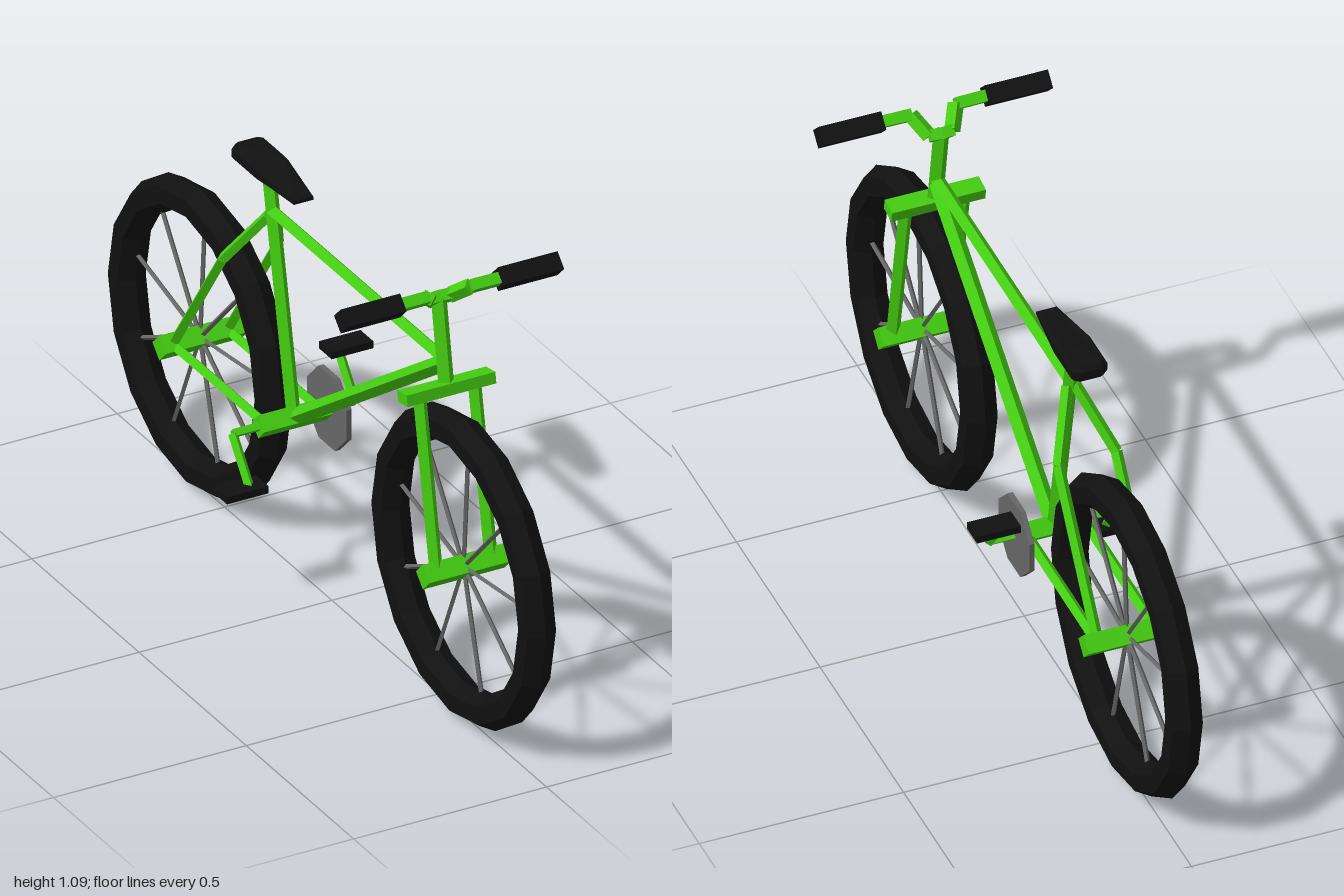
import * as THREE from 'three';

const mat = (color) => new THREE.MeshStandardMaterial({ color, flatShading: true });
const V = (x, y, z) => new THREE.Vector3(x, y, z);

export function createModel() {
  const bike = new THREE.Group();
  bike.name = 'bicycle';
  const green = mat(0x44cc11), black = mat(0x111111), grey = mat(0x666666);

  function add(name, geometry, material, parent = bike) {
    const mesh = new THREE.Mesh(geometry, material);
    mesh.name = name;
    parent.add(mesh);
    return mesh;
  }

  // Straight bar between two points, diamond section by default
  function rod(name, a, b, r, material = green, parent = bike, sides = 4) {
    const dir = b.clone().sub(a);
    const mesh = add(name, new THREE.CylinderGeometry(r, r, dir.length(), sides), material, parent);
    dir.normalize();
    const ref = Math.abs(dir.x) > 0.9 ? V(0, 1, 0) : V(1, 0, 0);
    const z = ref.clone().cross(dir).normalize();
    const x = dir.clone().cross(z);
    mesh.quaternion.setFromRotationMatrix(new THREE.Matrix4().makeBasis(x, dir, z));
    mesh.position.copy(a).add(b).multiplyScalar(0.5);
    return mesh;
  }

  // Chain of bars through several points
  function path(name, points, r) {
    for (let i = 1; i < points.length; i++) rod(name, points[i - 1], points[i], r);
  }

  // Wheels: tyre, spokes and hub
  const axleY = 0.387;
  for (const [name, z] of [['frontWheel', 0.614], ['rearWheel', -0.614]]) {
    const wheel = new THREE.Group();
    wheel.name = name;
    wheel.position.set(0, axleY, z);
    bike.add(wheel);
    add('tyre', new THREE.TorusGeometry(0.342, 0.043, 6, 16).rotateY(Math.PI / 2), black, wheel);
    for (let i = 0; i < 9; i++) {
      const a = THREE.MathUtils.degToRad(14 + i * 40);
      rod('spoke', V(0, 0, 0), V(0, 0.315 * Math.sin(a), -0.315 * Math.cos(a)), 0.006, grey, wheel);
    }
    rod('hub', V(-0.106, 0, 0), V(0.106, 0, 0), 0.032, green, wheel);
  }

  // Main frame
  const crank = V(0, 0.39, -0.178), seatJoint = V(0, 0.877, -0.275), head = V(0, 0.88, 0.52);
  rod('topTube', head, seatJoint, 0.017);
  rod('downTube', V(0, 0.868, 0.52), crank, 0.02);
  rod('seatTube', crank, V(0, 0.98, -0.296), 0.018);
  rod('bottomBracket', V(-0.092, 0.39, -0.178), V(0.092, 0.39, -0.178), 0.03);
  rod('headTube', V(0, 0.81, 0.534), V(0, 1.03, 0.497), 0.02);

  // Fork crown
  const crown = add('forkCrown', new THREE.BoxGeometry(0.23, 0.028, 0.045), green);
  crown.position.set(0, 0.813, 0.535);
  crown.rotation.x = -0.17;

  // Mirrored parts: fork legs, stays, handlebar and grips
  for (const s of [-1, 1]) {
    rod('forkLeg', V(s * 0.071, 0.81, 0.536), V(s * 0.071, axleY, 0.614), 0.017);
    path('seatStay', [V(s * 0.01, 0.865, -0.28), V(s * 0.071, 0.725, -0.378), V(s * 0.071, axleY, -0.614)], 0.014);
    rod('chainStay', V(s * 0.071, 0.39, -0.178), V(s * 0.071, axleY, -0.614), 0.014);
    path('handlebar', [V(0, 1.027, 0.497), V(s * 0.028, 1.027, 0.5),
      V(s * 0.055, 1.063, 0.545), V(s * 0.14, 1.063, 0.546)], 0.019);
    rod('grip', V(s * 0.127, 1.063, 0.546), V(s * 0.281, 1.063, 0.546), 0.031, black);

    // Crank arms and pedals, half a turn apart
    const y = 0.39 + s * 0.1, z = -0.178 - s * 0.078;
    path('crankArm', [V(s * 0.08, 0.39, -0.178), V(s * 0.158, 0.39, -0.178), V(s * 0.158, y, z)], 0.012);
    add('pedal', new THREE.BoxGeometry(0.108, 0.018, 0.06), black).position.set(s * 0.179, y + s * 0.002, z);
  }

  // Chainring
  const ring = add('chainring', new THREE.CylinderGeometry(0.1, 0.1, 0.013, 8).rotateY(Math.PI / 8), grey);
  ring.rotation.z = Math.PI / 2;
  ring.position.set(0.092, 0.39, -0.178);

  // Saddle: bevelled outline, thinned and dropped towards the nose
  const outline = new THREE.Shape([[-0.018, 0.14], [0.018, 0.14], [0.036, 0.285], [0.036, 0.385], [0.025, 0.395],
    [-0.025, 0.395], [-0.036, 0.385], [-0.036, 0.285]].map(([x, y]) => new THREE.Vector2(x, y)));
  const saddle = new THREE.ExtrudeGeometry(outline, {
    depth: 0.02, bevelEnabled: true, bevelThickness: 0.01, bevelSize: 0.008, bevelSegments: 1,
  }).rotateX(-Math.PI / 2);
  const p = saddle.attributes.position;
  for (let i = 0; i < p.count; i++) {
    const t = THREE.MathUtils.clamp((p.getZ(i) + 0.285) / 0.145, 0, 1);
    p.setY(i, 0.964 + (p.getY(i) + 0.01) * (1 - 0.58 * t));
  }
  saddle.computeVertexNormals();
  add('saddle', saddle, black);

  return bike;
}
